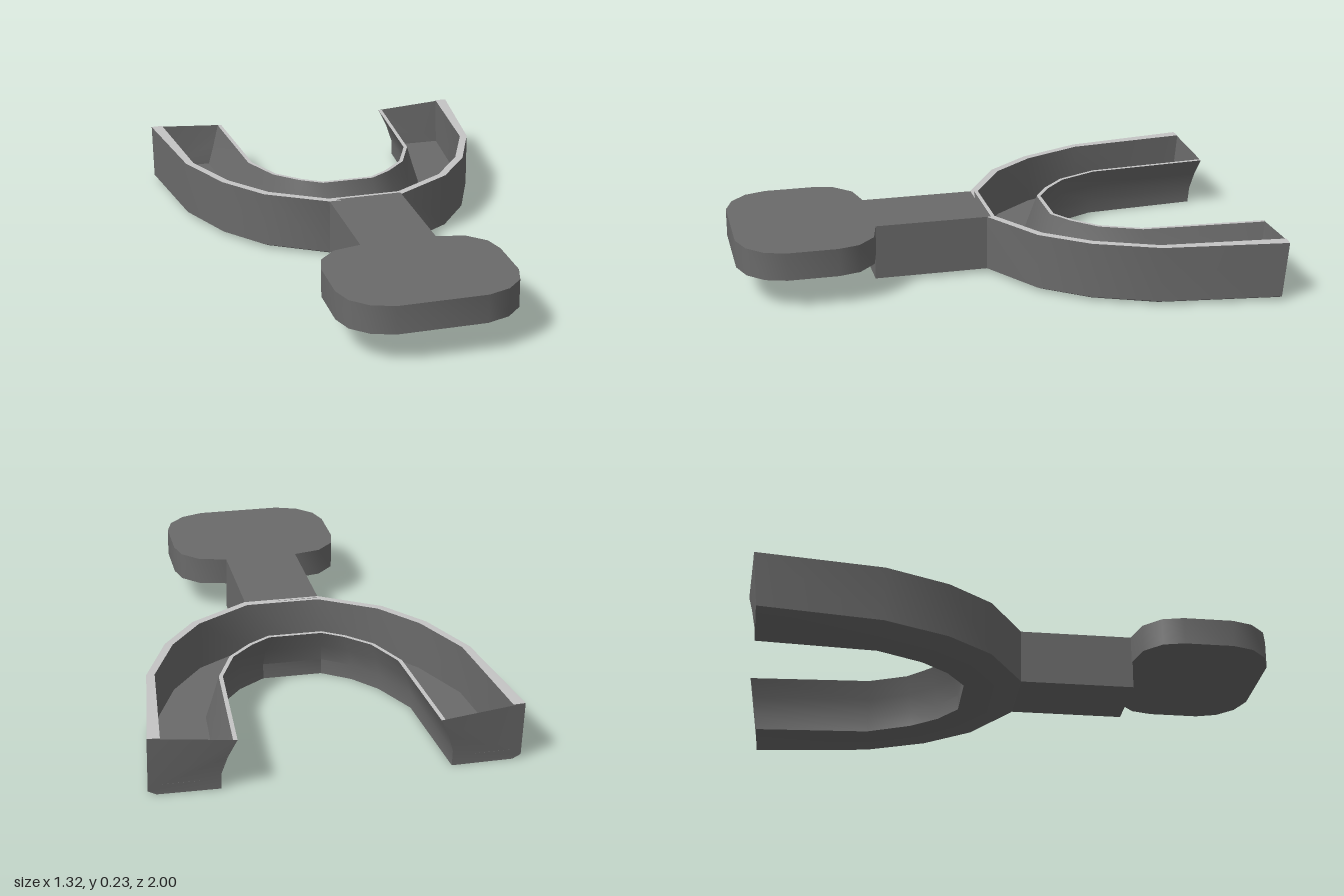
import * as THREE from 'three';
import { toCreasedNormals } from 'three/addons/utils/BufferGeometryUtils.js';

const TOP = 0.227;

// Half of the U, from the open end to the middle: outer rim, inner rim and inner floor edge as [x, z]
const OUTER = [[0.66, -0.98], [0.6, -0.51], [0.5, -0.27], [0.37, -0.1], [0.145, 0.04]];
const INNER = [[0.355, -1], [0.325, -0.52], [0.26, -0.37], [0.175, -0.285], [0.1, -0.235]];
const BASE = [[0.42, -0.985], [0.39, -0.52], [0.31, -0.345], [0.225, -0.24], [0.115, -0.165]];

// Cross-section of the trough at one station, as a closed loop of points
function section(i) {
  const v = ([x, z]) => new THREE.Vector2(x, z);
  const o = v(OUTER[i]), n = v(INNER[i]), b = v(BASE[i]);
  const u = n.clone().sub(o).normalize();
  const shift = (p, d) => p.clone().addScaledVector(u, d);
  const rim = i === 0 ? 0.045 : 0.03;
  const wall = shift(b, 0.012);
  const loop = [
    [o, 0.015], [o, TOP], [shift(o, rim), TOP], [shift(o, rim), 0.04], // outer wall
    [b, 0.04], [b.clone().lerp(n, 0.4), 0.12], [shift(n, -0.015), 0.2], // inside of the inner wall
    [n, 0.2], [wall.clone().lerp(n, 0.4), 0.13], [wall, 0.06], // mouth side of the inner wall
    [wall, 0], [shift(o, 0.03), 0], // underside
  ];
  // the open end leans back towards its top
  return loop.map(([p, y]) => new THREE.Vector3(p.x, y, p.y + (i === 0 ? 0.02 * (1 - y / TOP) : 0)));
}

function fromTriangles(points) {
  const g = new THREE.BufferGeometry().setFromPoints(points);
  g.computeVertexNormals();
  return toCreasedNormals(g, 0.6);
}

function createModel() {
  const model = new THREE.Group();
  model.name = 'tray';
  const grey = new THREE.MeshStandardMaterial({ color: 0x6a6a6a, side: THREE.DoubleSide });
  grey.name = 'dark grey';
  const light = new THREE.MeshStandardMaterial({ color: 0xc4c4c4, side: THREE.DoubleSide });
  light.name = 'light grey';

  const add = (name, geometry, material) => {
    const mesh = new THREE.Mesh(geometry, material);
    mesh.name = name;
    model.add(mesh);
    return mesh;
  };

  // Stations run from the left end, round the front, to the right end
  const half = OUTER.map((_, i) => section(i));
  const mirror = (loop) => loop.map((p) => new THREE.Vector3(-p.x, p.y, p.z));
  const stations = [...half, ...half.slice().reverse().map(mirror)];

  // Trough walls and floor, with the flat rims kept apart
  const body = [], rims = [];
  for (let s = 0; s < stations.length - 1; s++) {
    const p = stations[s], q = stations[s + 1];
    for (let j = 0; j < p.length; j++) {
      const k = (j + 1) % p.length;
      const target = j === 1 || j === 6 ? rims : body;
      target.push(p[j], p[k], q[k], p[j], q[k], q[j]);
    }
  }
  add('trough', fromTriangles(body), grey);
  add('troughRims', fromTriangles(rims), light);

  // Thin walls closing the two ends
  for (const [name, loop, flip] of [['leftEndWall', stations[0], false], ['rightEndWall', stations.at(-1), true]]) {
    const edge = [0, 1, 7, 8, 9, 10, 11].map((j) => loop[j]);
    const tris = [];
    for (let j = 1; j < edge.length - 1; j++) {
      if (flip) tris.push(edge[0], edge[j], edge[j + 1]);
      else tris.push(edge[0], edge[j + 1], edge[j]);
    }
    add(name, fromTriangles(tris), grey);
  }

  // Neck between trough and handle
  const neck = add('neck', new THREE.BoxGeometry(0.288, TOP - 0.015, 0.45), grey);
  neck.position.set(0, (TOP + 0.015) / 2, 0.25);

  // Rounded handle plate
  const side = [[0.14, 0.47], [0.25, 0.495], [0.315, 0.56], [0.335, 0.64],
    [0.335, 0.83], [0.31, 0.91], [0.25, 0.97], [0.165, 1]];
  const outline = [...side, ...side.slice().reverse().map(([x, z]) => [-x, z])];
  const shape = new THREE.Shape(outline.map(([x, z]) => new THREE.Vector2(x, -z)));
  const plate = new THREE.ExtrudeGeometry(shape, { depth: TOP - 0.12, bevelEnabled: false });
  plate.rotateX(-Math.PI / 2).translate(0, 0.12, 0);
  add('handle', toCreasedNormals(plate, 0.6), grey);

  return model;
}

export { createModel };
